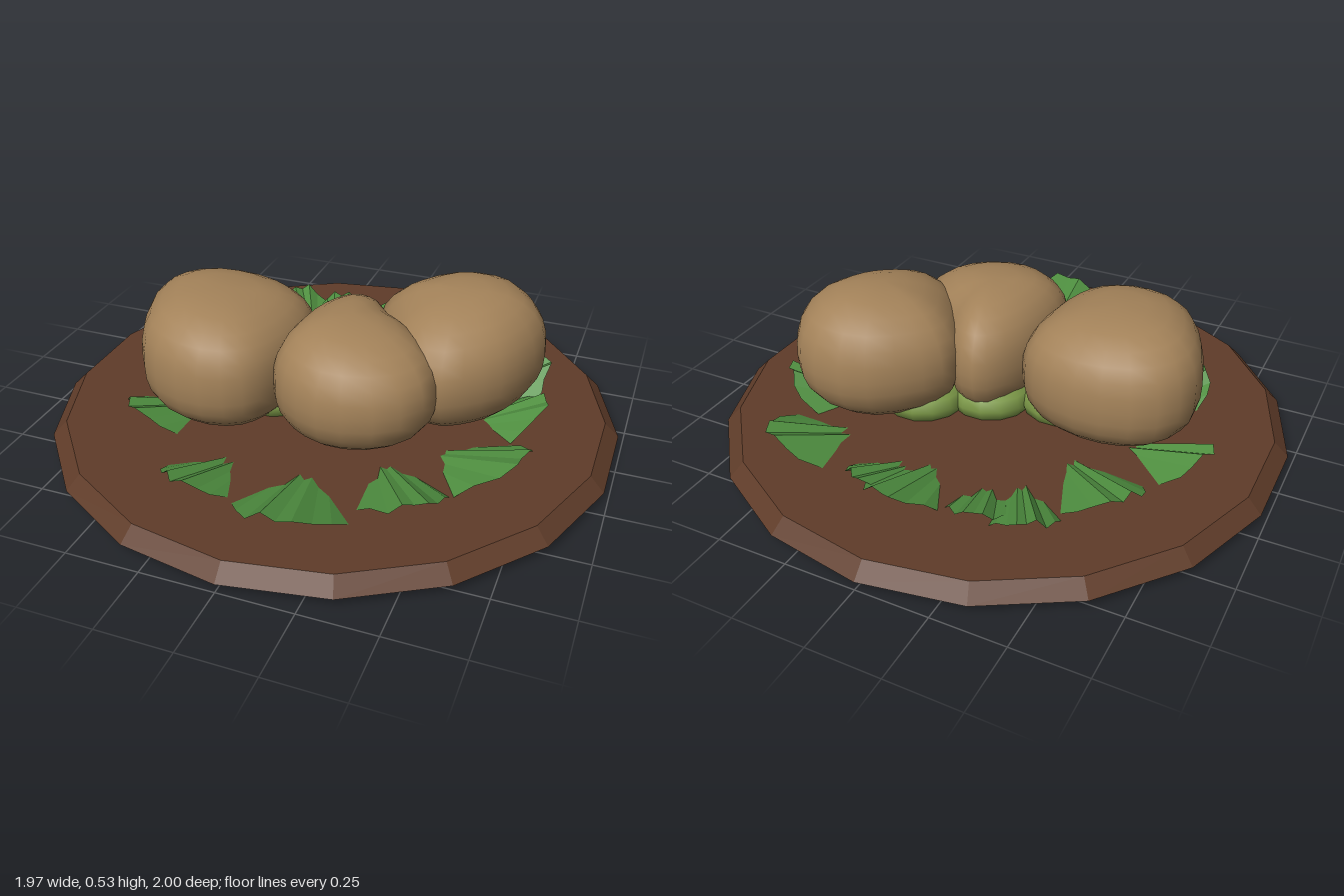
import * as THREE from 'three';
import { mergeVertices } from 'three/addons/utils/BufferGeometryUtils.js';

const mat = (color, extra = {}) => new THREE.MeshStandardMaterial({ color, ...extra });

// Lumpy smooth solid: a sphere whose plan follows a closed outline of [x, z] points,
// listed from -x through +z, +x and -z. Slopes tilt the upper half.
function lump(outline, bottom, top, slopeX, slopeZ, square) {
  const curve = new THREE.CatmullRomCurve3(outline.map(([x, z]) => new THREE.Vector3(x, 0, z)), true);
  const c = new THREE.Vector3();
  outline.forEach(([x, z]) => c.add(new THREE.Vector3(x / outline.length, 0, z / outline.length)));
  let geo = new THREE.SphereGeometry(1, 24, 14);
  const pos = geo.attributes.position, uv = geo.attributes.uv;
  for (let i = 0; i < pos.count; i++) {
    const py = pos.getY(i);
    const s = Math.pow(Math.max(0, 1 - Math.pow(Math.abs(py), square)), 1 / square);
    const u = ((uv.getX(i) % 1) + 1) % 1;
    const p = curve.getPoint(u).sub(c).multiplyScalar(s);
    const y = (bottom + top) / 2 + py * (top - bottom) / 2
      + Math.max(0, py) * (p.x * slopeX + p.z * slopeZ);
    pos.setXYZ(i, c.x + p.x, y, c.z + p.z);
  }
  geo.deleteAttribute('uv');
  geo.deleteAttribute('normal');
  geo = mergeVertices(geo, 1e-4);
  geo.computeVertexNormals();
  return geo;
}

// Pleated fan: a sunken inner point rising to an arched, rounded rim.
function leafGeometry(tipX, tipZ, endX, endZ, width, height, seed) {
  const dx = endX - tipX, dz = endZ - tipZ, len = Math.hypot(dx, dz);
  const fx = dx / len, fz = dz / len;
  const tip = [tipX - dx * 0.45, 0.01 + 0.01 * (seed % 3), tipZ - dz * 0.45];
  const n = 8, rim = [];
  for (let i = 0; i <= n; i++) {
    const t = (i / n) * 2 - 1;
    const pleat = (i % 2 ? 1 : -1) * 0.006;
    const across = t * width / 2;
    const back = -0.42 * width * Math.pow(Math.abs(t), 2.4) + 0.012 * Math.sin(i * 2.1 + seed);
    const flat = Math.min(1, 1.5 * (1 - Math.abs(t)));
    const y = 0.085 + (height - 0.085) * flat + pleat;
    rim.push([endX + fx * back - fz * across, y, endZ + fz * back + fx * across]);
  }
  const v = [];
  for (let i = 0; i < n; i++) v.push(...tip, ...rim[i + 1], ...rim[i]);
  const geo = new THREE.BufferGeometry();
  geo.setAttribute('position', new THREE.Float32BufferAttribute(v, 3));
  geo.computeVertexNormals();
  return geo;
}

export function createModel() {
  const model = new THREE.Group();
  const add = (name, geo, material, parent = model) => {
    const mesh = new THREE.Mesh(geo, material);
    mesh.name = name;
    parent.add(mesh);
    return mesh;
  };

  // Bevelled wooden plate
  add('plate', new THREE.CylinderGeometry(0.95, 1, 0.05, 18), mat(0x5f3c29, { flatShading: true }))
    .position.y = 0.065;

  // Three potatoes
  const skin = mat(0xa38259);
  add('potatoRight', lump([[-0.69, 0], [-0.65, 0.2], [-0.55, 0.36], [-0.36, 0.43], [-0.2, 0.39], [-0.12, 0.28],
    [-0.08, 0.08], [-0.1, -0.08], [-0.2, -0.17], [-0.4, -0.21], [-0.6, -0.15]], 0.06, 0.515, -0.08, 0, 2.6), skin);
  add('potatoMiddle', lump([[-0.13, 0.12], [-0.12, 0.28], [-0.03, 0.38], [0.13, 0.43], [0.33, 0.36],
    [0.42, 0.2], [0.33, 0.02], [0.2, -0.08], [0.1, -0.19], [0, -0.2], [-0.09, -0.07]], 0.07, 0.505, -0.05, 0, 2.4), skin);
  add('potatoLeft', lump([[0.1, -0.18], [0.17, 0], [0.25, 0.13], [0.4, 0.2], [0.54, 0.12], [0.64, 0],
    [0.7, -0.2], [0.66, -0.32], [0.55, -0.43], [0.34, -0.44], [0.17, -0.31]], 0.07, 0.535, 0.03, -0.08, 2.3), skin);

  // Pale greens the potatoes rest on
  const pale = mat(0x7d9a48);
  [[0.26, -0.13], [0.05, -0.02], [-0.2, 0.06]].forEach(([x, z]) => {
    const m = add('greenBed', new THREE.SphereGeometry(0.16, 14, 8), pale);
    m.scale.y = 0.6;
    m.position.set(x, 0.13, z);
  });

  // Ring of leaves: tip x, tip z, outer x, outer z, width, rim height
  const leaves = new THREE.Group();
  leaves.name = 'leaves';
  model.add(leaves);
  const green = mat(0x4f8f40, { flatShading: true, side: THREE.DoubleSide });
  [
    [-0.16, 0.39, -0.27, 0.73, 0.29, 0.16],
    [0.07, 0.42, 0.12, 0.83, 0.4, 0.18],
    [0.27, 0.3, 0.48, 0.61, 0.32, 0.17],
    [0.41, 0.19, 0.74, 0.3, 0.38, 0.2],
    [0.5, -0.05, 0.74, -0.08, 0.3, 0.19],
    [0.45, -0.2, 0.7, -0.32, 0.26, 0.21],
    [0.34, -0.36, 0.57, -0.63, 0.36, 0.17],
    [0.1, -0.42, 0.2, -0.69, 0.23, 0.15],
    [0.03, -0.42, 0.06, -0.75, 0.3, 0.17],
    [-0.15, -0.39, -0.23, -0.69, 0.24, 0.15],
    [-0.23, -0.36, -0.4, -0.67, 0.24, 0.16],
    [-0.33, -0.22, -0.62, -0.46, 0.32, 0.18],
    [-0.45, -0.06, -0.79, -0.12, 0.28, 0.19],
    [-0.4, 0.15, -0.6, 0.41, 0.3, 0.17],
  ].forEach((leaf, i) => add('leaf', leafGeometry(...leaf, i), green, leaves));

  return model;
}
